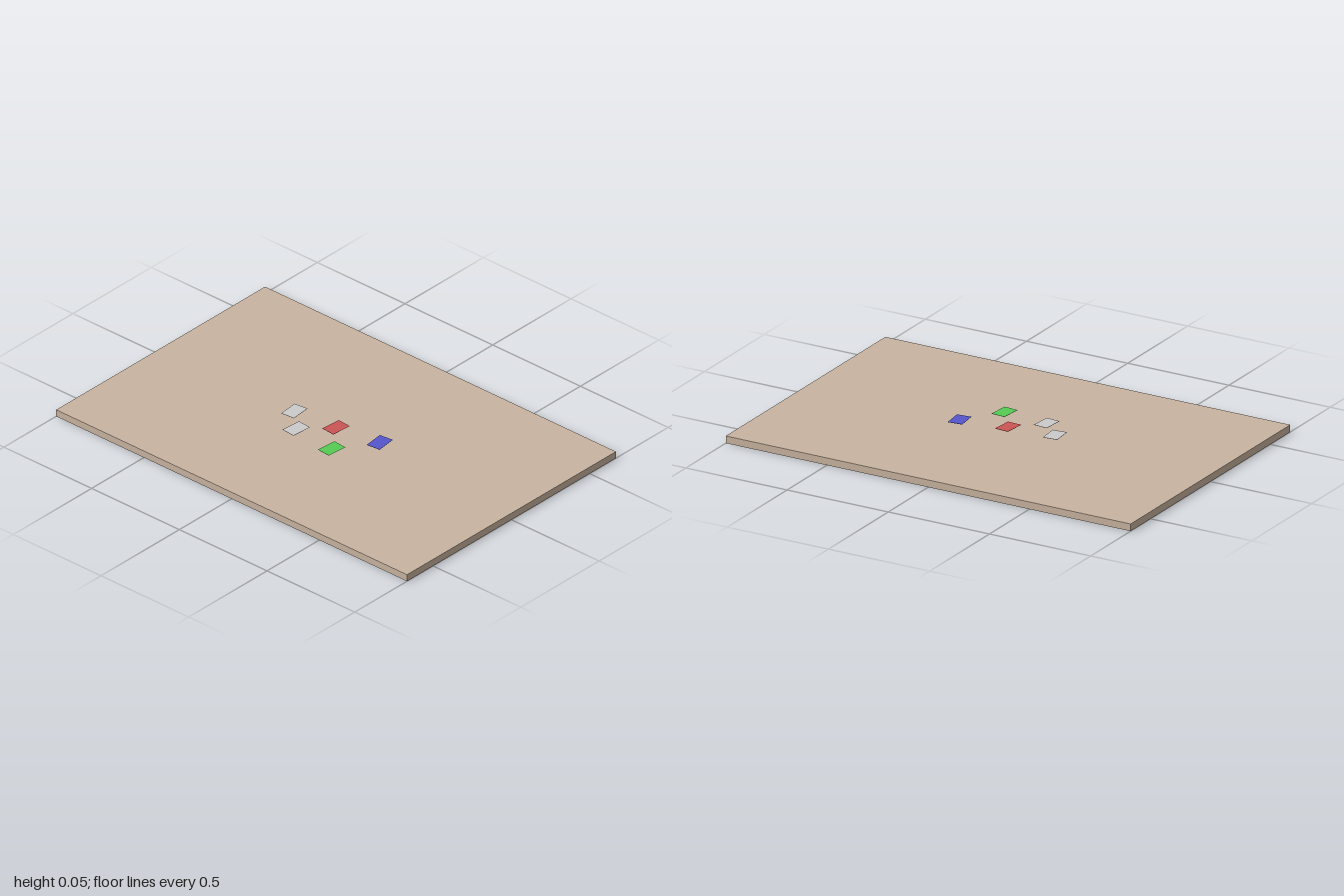
import * as THREE from 'three';

export function createModel() {
  const group = new THREE.Group();

  function addBox(name, size, color) {
    const mesh = new THREE.Mesh(
      new THREE.BoxGeometry(...size),
      new THREE.MeshStandardMaterial({ color })
    );
    mesh.name = name;
    group.add(mesh);
    return mesh;
  }

  // Flat table top
  const thickness = 0.033;
  addBox('tableTop', [2, thickness, 1.333], 0xc8b4a0).position.y = thickness / 2;

  // Thin cards hovering just above the table: name, x, z, turn, colour
  const cards = [
    ['greyCardOuter', -0.22, 0.02, 0.09, 0xcccccc],
    ['greyCardInner', -0.12, 0.12, -0.08, 0xcccccc],
    ['redCard', 0, 0, -0.08, 0xcc5555],
    ['greenCard', 0.1, 0.14, -0.08, 0x55cc55],
    ['blueCard', 0.22, -0.033, 0.12, 0x5555cc],
  ];
  for (const [name, x, z, turn, color] of cards) {
    const card = addBox(name, [0.067, 0.001, 0.097], color);
    card.position.set(x, 0.05, z);
    card.rotation.y = turn;
  }

  return group;
}
